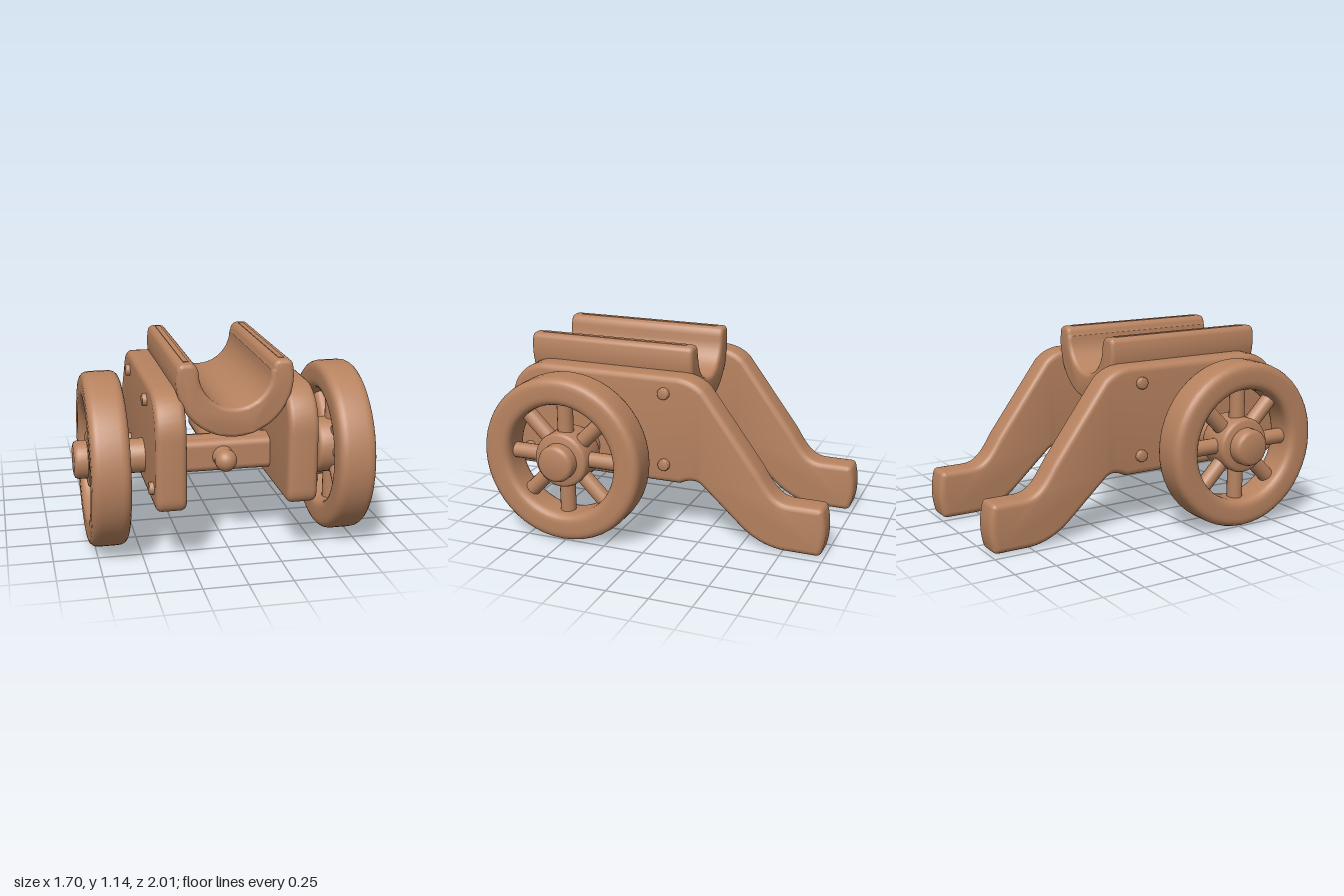
import * as THREE from 'three';
import { toCreasedNormals } from 'three/addons/utils/BufferGeometryUtils.js';
import { RoundedBoxGeometry } from 'three/addons/geometries/RoundedBoxGeometry.js';

const wood = new THREE.MeshStandardMaterial({ color: 0xb88360 });
wood.name = 'warm brown';

function add(parent, name, geometry, x = 0, y = 0, z = 0) {
  const mesh = new THREE.Mesh(geometry, wood);
  mesh.name = name;
  mesh.position.set(x, y, z);
  parent.add(mesh);
  return mesh;
}

// Extrude with rounded edges that stay inside the outline, depth centred on zero
function roundedExtrude(shape, depth, bevel) {
  const g = new THREE.ExtrudeGeometry(shape, {
    depth: depth - 2 * bevel, bevelEnabled: true, bevelThickness: bevel,
    bevelSize: bevel, bevelOffset: -bevel, bevelSegments: 4, curveSegments: 10,
  });
  g.translate(0, 0, -depth / 2 + bevel);
  return toCreasedNormals(g, 0.7);
}

// Solid of revolution along x with a soft edge on both ends
function turned(radius, x0, x1, soft = 0.02, segments = 32) {
  const p = [[0, x0], [radius - soft, x0], [radius - soft * 0.3, x0 + soft * 0.3], [radius, x0 + soft],
    [radius, x1 - soft], [radius - soft * 0.3, x1 - soft * 0.3], [radius - soft, x1], [0, x1]]
    .map(([r, y]) => new THREE.Vector2(r, y));
  const g = new THREE.LatheGeometry(p, segments);
  g.rotateZ(-Math.PI / 2);
  return toCreasedNormals(g, 0.8);
}

// Side plank outline, drawn as (z, y)
function cheekShape() {
  const s = new THREE.Shape();
  s.moveTo(0.93, 0.335);
  s.quadraticCurveTo(1, 0.335, 1, 0.42);
  s.lineTo(1, 0.74);
  s.bezierCurveTo(1, 0.88, 0.9, 0.99, 0.76, 0.99);
  s.lineTo(-0.1, 0.99);
  s.quadraticCurveTo(-0.2, 0.98, -0.26, 0.92);
  s.lineTo(-0.59, 0.475);
  s.bezierCurveTo(-0.66, 0.36, -0.7, 0.3, -0.79, 0.3);
  s.lineTo(-0.95, 0.3);
  s.quadraticCurveTo(-0.98, 0.3, -0.985, 0.27);
  s.quadraticCurveTo(-1.015, 0.14, -0.98, 0.03);
  s.quadraticCurveTo(-0.975, 0.005, -0.94, 0.005);
  s.lineTo(-0.76, 0.005);
  s.quadraticCurveTo(-0.6, 0.01, -0.47, 0.135);
  s.lineTo(-0.24, 0.345);
  s.quadraticCurveTo(-0.19, 0.38, -0.11, 0.335);
  s.closePath();
  return s;
}

// U-shaped cradle section, drawn as (x, y)
function cradleShape() {
  const s = new THREE.Shape();
  s.moveTo(-0.325, 1.05);
  s.absarc(0, 1.045, 0.325, Math.PI, Math.PI * 2, false);
  s.lineTo(0.32, 1.1);
  s.quadraticCurveTo(0.315, 1.14, 0.28, 1.14);
  s.lineTo(0.25, 1.14);
  s.quadraticCurveTo(0.21, 1.14, 0.205, 1.09);
  s.absarc(0, 1.085, 0.2, 0, Math.PI, true);
  s.quadraticCurveTo(-0.21, 1.14, -0.25, 1.14);
  s.lineTo(-0.28, 1.14);
  s.quadraticCurveTo(-0.315, 1.14, -0.32, 1.1);
  s.closePath();
  return s;
}

// Rounded rim ring, spokes and hub, all around the x axis
function makeWheel() {
  const wheel = new THREE.Group();
  const r0 = 0.335, r1 = 0.5, h = 0.108, c = 0.055;
  const s = new THREE.Shape();
  s.moveTo(r1, -h + c);
  s.lineTo(r1, h - c);
  s.quadraticCurveTo(r1, h, r1 - c, h);
  s.lineTo(r0 + c, h);
  s.quadraticCurveTo(r0, h, r0, h - c);
  s.lineTo(r0, -h + c);
  s.quadraticCurveTo(r0, -h, r0 + c, -h);
  s.lineTo(r1 - c, -h);
  s.quadraticCurveTo(r1, -h, r1, -h + c);
  const rim = new THREE.LatheGeometry(s.getPoints(5), 48);
  rim.rotateZ(-Math.PI / 2);
  add(wheel, 'rim', toCreasedNormals(rim, 0.8));
  for (let i = 0; i < 8; i++) {
    const spoke = new THREE.CylinderGeometry(0.047, 0.047, 0.28, 16);
    spoke.translate(0, 0.22, 0);
    spoke.rotateX(i * Math.PI / 4);
    add(wheel, 'spoke', spoke);
  }
  add(wheel, 'hub', turned(0.165, -0.122, 0.09));
  add(wheel, 'hubCap', turned(0.11, 0, 0.167, 0.025));
  return wheel;
}

export function createModel() {
  const model = new THREE.Group();
  model.name = 'wheeledCarriage';

  // Cradle with a thin strip along each lip
  add(model, 'cradle', roundedExtrude(cradleShape(), 1.055, 0.025), 0, 0, 0.3875);
  for (const side of [-1, 1])
    add(model, 'lipStrip', new THREE.BoxGeometry(0.03, 0.008, 0.94), side * 0.262, 1.139, 0.385);

  // Axle beam, axle and centre peg
  add(model, 'axleBeam', new RoundedBoxGeometry(0.62, 0.19, 0.19, 4, 0.04), 0, 0.51, 0.51);
  add(model, 'axle', turned(0.1, -0.6, 0.6), 0, 0.515, 0.505);
  const peg = turned(0.062, -0.155, 0.68, 0.02, 24);
  peg.rotateY(-Math.PI / 2);
  add(model, 'centrePeg', peg, 0, 0.51, 0);
  add(model, 'pegHead', new THREE.SphereGeometry(0.064, 24, 16), 0, 0.51, 0.68);

  // Side planks, bolts and wheels, mirrored
  const cheek = roundedExtrude(cheekShape(), 0.17, 0.035);
  cheek.rotateY(-Math.PI / 2);
  const bolts = [[0.66, 0.89], [0.88, 0.45], [-0.015, 0.89], [-0.015, 0.45]];
  for (const side of [-1, 1]) {
    add(model, side > 0 ? 'leftCheek' : 'rightCheek', cheek, side * 0.365);
    for (const [z, y] of bolts)
      add(model, 'bolt', turned(0.036, -0.04, 0.04, 0.008, 16), side * 0.436, y, z);
    const wheel = makeWheel();
    wheel.name = side > 0 ? 'leftWheel' : 'rightWheel';
    wheel.position.set(side * 0.685, 0.513, 0.508);
    if (side < 0) wheel.rotation.y = Math.PI;
    model.add(wheel);
  }
  return model;
}
